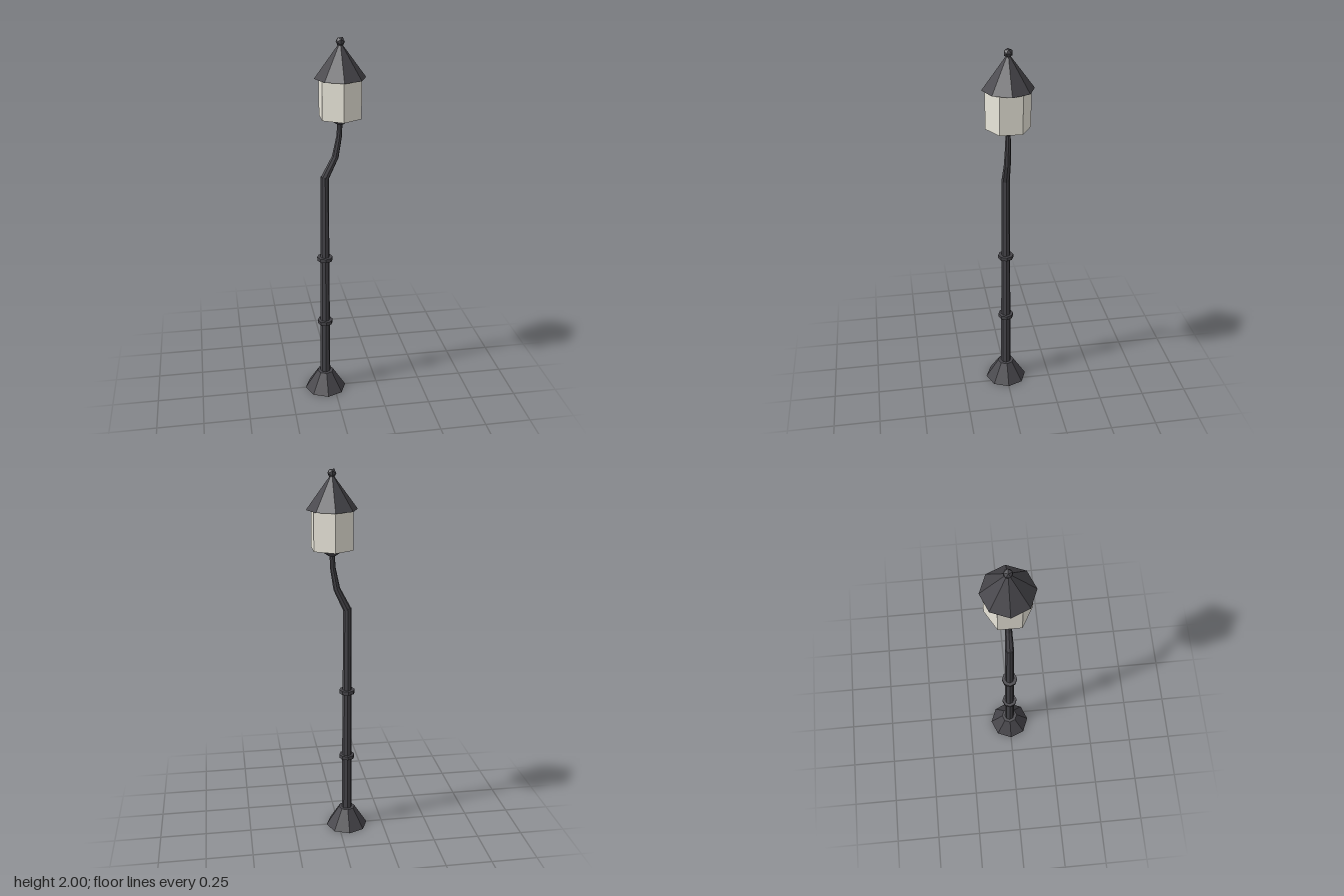
import * as THREE from 'three';

const POLE_X = -0.048, LAMP_X = 0.032;

export function createModel() {
  const group = new THREE.Group();
  const iron = new THREE.MeshStandardMaterial({ color: 0x46454a, flatShading: true });
  const glass = new THREE.MeshStandardMaterial({ color: 0xebe8dc, flatShading: true });

  function add(name, geometry, material = iron) {
    const mesh = new THREE.Mesh(geometry, material);
    mesh.name = name;
    group.add(mesh);
    return mesh;
  }

  // Faceted frustum standing between two heights
  function frustum(name, x, y0, y1, r0, r1, sides = 8, material = iron) {
    const mesh = add(name, new THREE.CylinderGeometry(r1, r0, y1 - y0, sides), material);
    mesh.position.set(x, (y0 + y1) / 2, 0);
    return mesh;
  }

  // Foot, tapering post and its two collars
  frustum('base', POLE_X, 0, 0.11, 0.115, 0.045);
  frustum('post', POLE_X, 0.1, 1.285, 0.028, 0.022);
  [0.43, 0.817].forEach((y, i) =>
    frustum(i ? 'upperCollar' : 'lowerCollar', POLE_X, y - 0.01, y + 0.01, 0.042, 0.042));

  // Bent arm: each ring of a cylinder is moved to a path point [x, y, radius, tilt]
  const path = [
    [POLE_X, 1.275, 0.022, -0.25],
    [0.008, 1.39, 0.018, -0.33],
    [0.028, 1.5, 0.0145, -0.12],
    [LAMP_X, 1.58, 0.013, 0],
  ];
  const arm = new THREE.CylinderGeometry(1, 1, path.length - 1, 8, path.length - 1);
  const pos = arm.attributes.position;
  for (let i = 0; i < pos.count; i++) {
    const [x, y, r, tilt] = path[Math.round(pos.getY(i) + (path.length - 1) / 2)];
    const across = pos.getX(i) * r;
    pos.setXYZ(i, x + across * Math.cos(tilt), y + across * Math.sin(tilt), pos.getZ(i) * r);
  }
  arm.computeVertexNormals();
  add('arm', arm);

  // Lantern: cup, six-sided glass, eight-sided roof and finial
  frustum('lanternCup', LAMP_X, 1.565, 1.602, 0.02, 0.075);
  frustum('lanternGlass', LAMP_X, 1.6, 1.805, 0.115, 0.115, 6, glass);
  frustum('roof', LAMP_X, 1.8, 1.97, 0.131, 0.006);
  add('finial', new THREE.IcosahedronGeometry(0.024, 0)).position.set(LAMP_X, 1.978, 0);

  return group;
}
